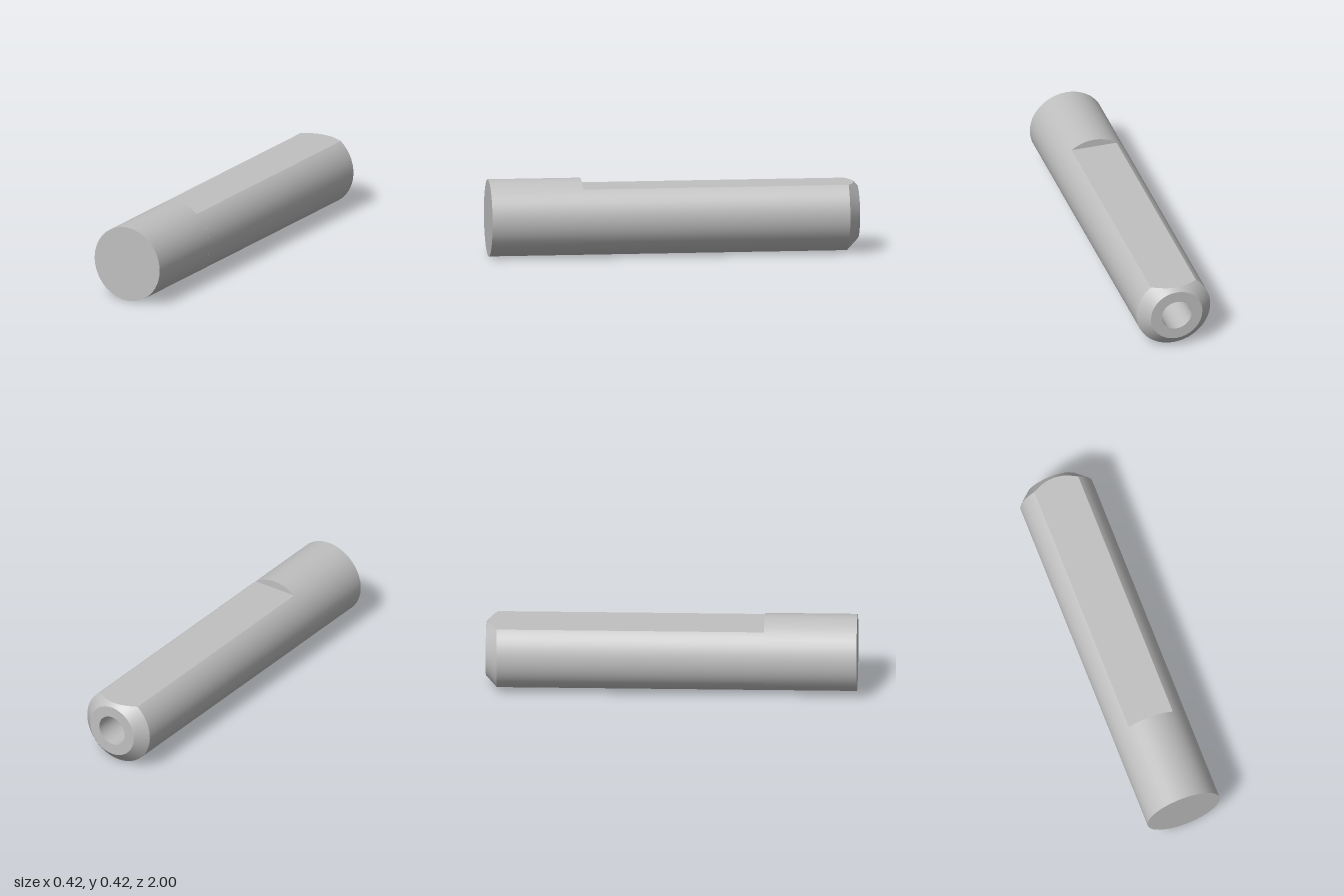
import * as THREE from 'three';

const R = 0.208;        // shaft radius
const H = 0.165;        // height of the milled flat above the axis
const E = 0.145;        // radius of the chamfered end face
const BORE = 0.084;     // radius of the blind hole
const STEP_Z = 0.5;     // where the flat begins
const CHAMFER_Z = -0.94;

// Angle from the top at which a circle of radius r meets the flat
const cutAngle = (r) => (r > H ? Math.acos(H / r) : 0);

// Revolves a [z, r] profile about the z axis, leaving out the arc above the flat if cut
function revolve(profile, cut = false, sides = 36) {
  const pos = [], nor = [], idx = [];
  for (let k = 0; k < profile.length - 1; k++) {
    const [z0, r0] = profile[k], [z1, r1] = profile[k + 1];
    const len = Math.hypot(z1 - z0, r1 - r0);
    const nr = (z0 - z1) / len, nz = (r1 - r0) / len;
    const base = pos.length / 3;
    for (const [z, r] of [profile[k], profile[k + 1]]) {
      const a0 = cut ? cutAngle(r) : 0;
      for (let i = 0; i <= sides; i++) {
        const a = a0 + (2 * Math.PI - 2 * a0) * i / sides;
        pos.push(r * Math.sin(a), r * Math.cos(a), z);
        nor.push(nr * Math.sin(a), nr * Math.cos(a), nz);
      }
    }
    for (let i = 0; i < sides; i++) {
      const a = base + i, c = a + sides + 1;
      idx.push(a, a + 1, c, a + 1, c + 1, c);
    }
  }
  const g = new THREE.BufferGeometry();
  g.setAttribute('position', new THREE.Float32BufferAttribute(pos, 3));
  g.setAttribute('normal', new THREE.Float32BufferAttribute(nor, 3));
  g.setIndex(idx);
  return g;
}

export function createModel() {
  const group = new THREE.Group();
  const steel = new THREE.MeshStandardMaterial({ color: 0xc0c0c0 });
  steel.name = 'steel grey';

  const add = (name, geometry) => {
    const mesh = new THREE.Mesh(geometry, steel);
    mesh.name = name;
    mesh.position.y = R;
    group.add(mesh);
    return mesh;
  };

  // Full round section with its front face
  add('roundEnd', revolve([[1, 0], [1, R], [STEP_Z, R]]));

  // Chamfer rows, fine enough to follow the curved edge of the flat
  const chamfer = [];
  for (let i = 0; i <= 8; i++) {
    const r = R + (H - R) * i / 8;
    chamfer.push([CHAMFER_Z - 0.06 * (R - r) / (R - E), r]);
  }

  // Long section below the flat, and the chamfer
  add('flattedShaft', revolve([[STEP_Z, R], [CHAMFER_Z, R]], true));
  add('chamfer', revolve([...chamfer, [-1, E]], true));

  // End face and blind hole with a conical bottom
  add('endFace', revolve([[-1, E], [-1, BORE]]));
  add('bore', revolve([[-1, BORE], [-0.5, BORE], [-0.45, 0]]));

  // Milled flat: a strip with a curved end at the chamfer
  const side = [[STEP_Z, R], ...chamfer].map(([z, r]) => [r * Math.sin(cutAngle(r)), -z]);
  const outline = [
    ...side.map(([x, y]) => new THREE.Vector2(x, y)),
    ...side.slice(0, -1).reverse().map(([x, y]) => new THREE.Vector2(-x, y)),
  ];
  const flat = new THREE.ShapeGeometry(new THREE.Shape(outline));
  flat.rotateX(-Math.PI / 2).translate(0, H, 0);
  add('milledFlat', flat);

  // Step wall at the start of the flat
  const a0 = cutAngle(R), arc = [];
  for (let i = 0; i <= 8; i++) {
    const a = a0 - 2 * a0 * i / 8;
    arc.push(new THREE.Vector2(R * Math.sin(a), R * Math.cos(a)));
  }
  const wall = new THREE.ShapeGeometry(new THREE.Shape(arc));
  wall.rotateY(Math.PI).translate(0, 0, STEP_Z);
  add('stepWall', wall);

  return group;
}
